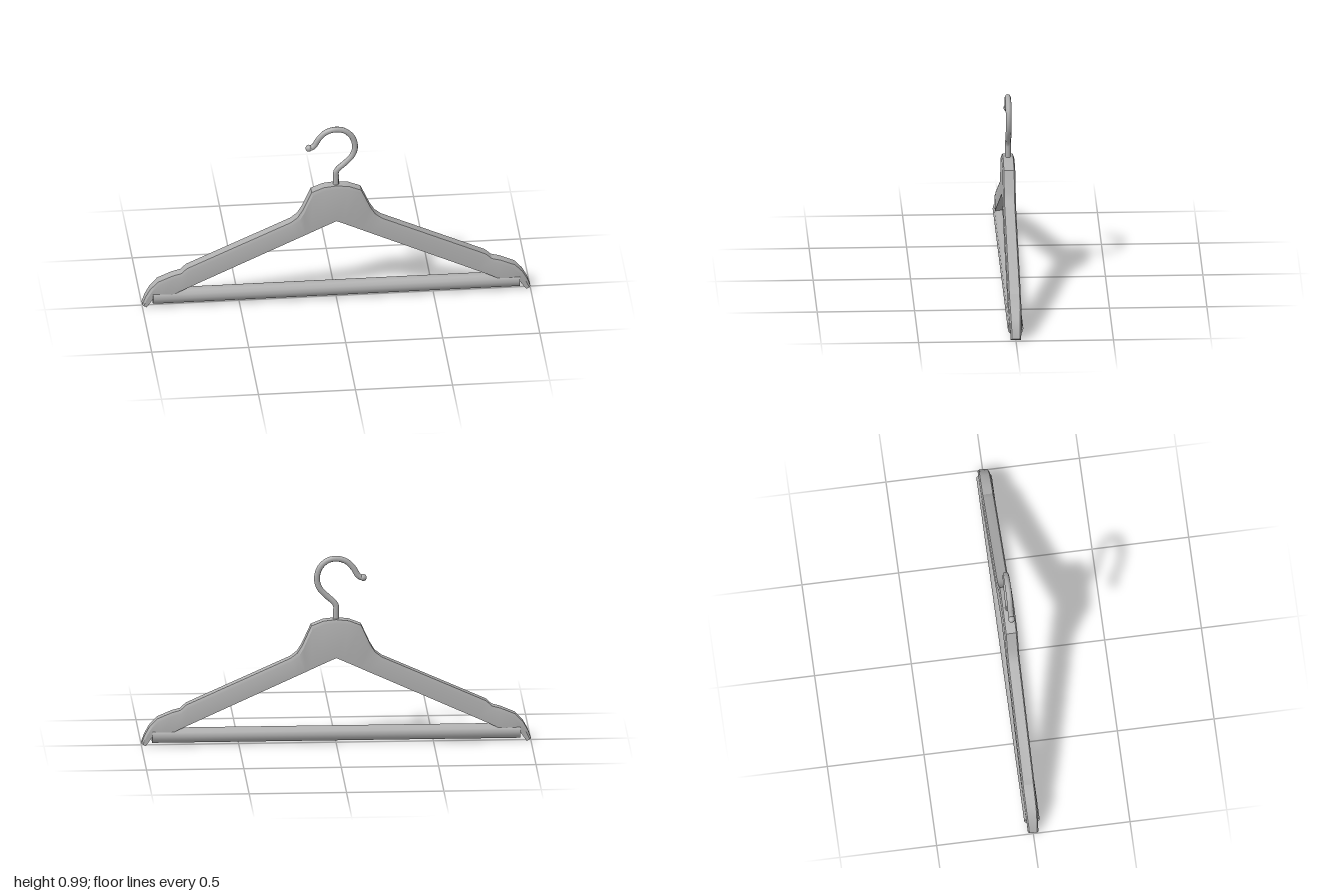
import * as THREE from 'three';
import { toCreasedNormals } from 'three/addons/utils/BufferGeometryUtils.js';

// Half of the body: outer x, outer y, inner x, inner y, half depth
const HALF = [
  [0, 0.657, 0, 0.455, 0.033],
  [0.065, 0.65, 0.04, 0.437, 0.033],
  [0.128, 0.625, 0.08, 0.419, 0.033],
  [0.175, 0.522, 0.13, 0.396, 0.033],
  [0.2, 0.482, 0.16, 0.382, 0.033],
  [0.235, 0.455, 0.2, 0.364, 0.033],
  [0.77, 0.215, 0.72, 0.127, 0.033],
  [0.8, 0.187, 0.785, 0.097, 0.033],
  [0.845, 0.175, 0.83, 0.075, 0.033],
  [0.92, 0.143, 0.89, 0.068, 0.032],
  [0.96, 0.1, 0.935, 0.06, 0.03],
  [0.985, 0.055, 0.95, 0.04, 0.028],
  [1, 0.012, 0.978, 0, 0.027],
];

// Lofts a section with a softened outer edge along the whole body
function bodyGeometry() {
  const mirrored = HALF.slice(1).reverse().map(([ox, oy, ix, iy, d]) => [-ox, oy, -ix, iy, d]);
  const rows = [...mirrored, ...HALF];
  const pos = [];
  const index = [];
  for (const [ox, oy, ix, iy, d] of rows) {
    const t = Math.min(0.3, 0.018 / Math.hypot(ix - ox, iy - oy));
    const px = ox + (ix - ox) * t;
    const py = oy + (iy - oy) * t;
    const e = d - 0.007;
    pos.push(ix, iy, d, px, py, d, ox, oy, e, ox, oy, -e, px, py, -d, ix, iy, -d);
  }
  for (let j = 0; j < rows.length - 1; j++) {
    for (let k = 0; k < 6; k++) {
      const n = (k + 1) % 6;
      const a = j * 6 + k, b = a + 6, c = (j + 1) * 6 + n, d = j * 6 + n;
      index.push(a, b, c, a, c, d);
    }
  }
  const last = (rows.length - 1) * 6;
  for (let k = 1; k < 5; k++) index.push(0, k, k + 1, last, last + k + 1, last + k);
  const g = new THREE.BufferGeometry();
  g.setAttribute('position', new THREE.Float32BufferAttribute(pos, 3));
  g.setIndex(index);
  return toCreasedNormals(g, 0.45);
}

export function createModel() {
  const group = new THREE.Group();
  const grey = new THREE.MeshStandardMaterial({ color: 0xb0b0b0 });
  grey.name = 'plain grey';
  const add = (name, geometry) => {
    const mesh = new THREE.Mesh(geometry, grey);
    mesh.name = name;
    group.add(mesh);
    return mesh;
  };

  // Shoulders, neck and down-turned tips
  add('body', bodyGeometry());

  // Trouser bar
  const bar = add('bar', new THREE.CylinderGeometry(0.04, 0.04, 1.89, 12));
  bar.rotation.z = Math.PI / 2;
  bar.position.y = 0.05;

  // Wire hook: straight stem, slanted neck and round crook
  const points = [
    [0, 0.63], [0, 0.69], [0, 0.725], [0.012, 0.745], [0.045, 0.775], [0.085, 0.82],
    [0.098, 0.87], [0.084, 0.925], [0.046, 0.963], [0, 0.974], [-0.052, 0.96],
    [-0.09, 0.922], [-0.112, 0.885], [-0.13, 0.872], [-0.142, 0.872],
  ].map(([x, y]) => new THREE.Vector3(x, y, 0));
  const path = new THREE.CatmullRomCurve3(points, false, 'centripetal');
  add('hook', new THREE.TubeGeometry(path, 44, 0.015, 8));

  // Rounded end of the hook
  const tip = add('hookTip', new THREE.SphereGeometry(0.018, 10, 8));
  tip.position.set(-0.14, 0.872, 0);

  return group;
}
